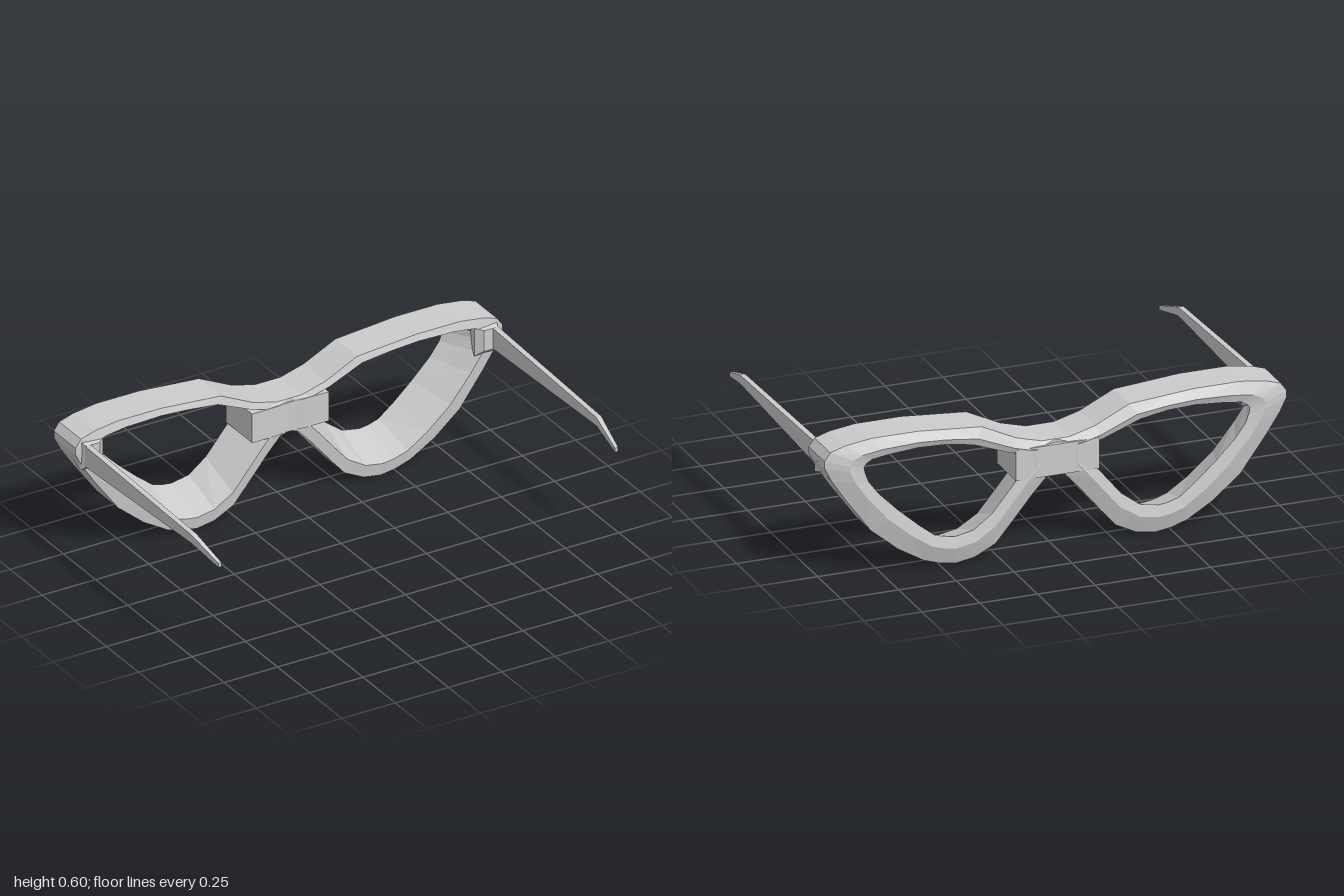
import * as THREE from 'three';

const material = new THREE.MeshStandardMaterial({ color: 0xcccccc, flatShading: true });

// Skin a list of equal-length cross-sections; either a closed ring or a capped bar.
// side = -1 mirrors it across x and flips the winding.
function loft(name, sections, ring, side) {
  const out = [];
  const tri = (a, b, c) => {
    for (const p of side > 0 ? [a, b, c] : [a, c, b]) out.push(p[0] * side, p[1], p[2]);
  };
  const n = sections[0].length;
  const spans = ring ? sections.length : sections.length - 1;
  for (let i = 0; i < spans; i++) {
    const s = sections[i], t = sections[(i + 1) % sections.length];
    for (let j = 0; j < n; j++) {
      const k = (j + 1) % n;
      tri(s[j], s[k], t[k]);
      tri(s[j], t[k], t[j]);
    }
  }
  if (!ring) {
    const s = sections[0], t = sections[sections.length - 1];
    for (let j = 1; j < n - 1; j++) {
      tri(s[0], s[j + 1], s[j]);
      tri(t[0], t[j], t[j + 1]);
    }
  }
  const geometry = new THREE.BufferGeometry();
  geometry.setAttribute('position', new THREE.Float32BufferAttribute(out, 3));
  geometry.computeVertexNormals();
  const mesh = new THREE.Mesh(geometry, material);
  mesh.name = name;
  return mesh;
}

// Rim stations: outer x, outer y, inner x, inner y, clockwise from the bridge top
const rimStations = [
  [0, 0.475, 0.15, 0.43],
  [0.06, 0.475, 0.16, 0.44],
  [0.17, 0.505, 0.2, 0.45],
  [0.32, 0.577, 0.36, 0.51],
  [0.48, 0.59, 0.48, 0.53],
  [0.6, 0.6, 0.6, 0.535],
  [0.8, 0.6, 0.73, 0.525],
  [0.91, 0.585, 0.8, 0.515],
  [0.975, 0.565, 0.825, 0.5],
  [1, 0.53, 0.835, 0.485],
  [1, 0.5, 0.83, 0.46],
  [0.97, 0.44, 0.815, 0.42],
  [0.91, 0.35, 0.77, 0.36],
  [0.8, 0.2, 0.69, 0.28],
  [0.68, 0.1, 0.6, 0.2],
  [0.57, 0.035, 0.53, 0.145],
  [0.5, 0.012, 0.48, 0.13],
  [0.43, 0.002, 0.44, 0.125],
  [0.35, 0.015, 0.36, 0.14],
  [0.26, 0.06, 0.28, 0.2],
  [0.2, 0.13, 0.25, 0.235],
  [0.1, 0.25, 0.18, 0.32],
  [0.04, 0.315, 0.15, 0.36],
  [0, 0.325, 0.145, 0.39],
];

// Five-sided rim section: ridge on the front, inner wall tapering towards the back
function rimSection([ox, oy, ix, iy]) {
  const at = (t, z) => [ox + (ix - ox) * t, oy + (iy - oy) * t, z];
  return [at(0, -0.405), at(0.45, -0.396), at(1, -0.59), at(0.6, -0.6), at(0, -0.575)];
}

// Rectangular section across z
const rect = (x0, x1, y0, y1, z) => [[x0, y0, z], [x1, y0, z], [x1, y1, z], [x0, y1, z]];

export function createModel() {
  const model = new THREE.Group();
  model.name = 'glasses';

  for (const side of [1, -1]) {
    const label = side > 0 ? 'left' : 'right';

    model.add(loft(label + 'Rim', rimStations.map(rimSection), true, side));

    // Hinge block tapering from the rim into the arm
    model.add(loft(label + 'Hinge', [
      rect(0.9, 0.97, 0.45, 0.56, -0.5),
      rect(0.87, 0.975, 0.42, 0.55, -0.408),
      rect(0.9, 0.965, 0.445, 0.54, -0.382),
    ], false, side));

    // Slim arm with a drooping tip
    model.add(loft(label + 'Arm', [
      rect(0.942, 0.967, 0.445, 0.54, -0.4),
      rect(0.937, 0.96, 0.477, 0.515, 0.43),
      rect(0.922, 0.937, 0.44, 0.459, 0.6),
    ], false, side));
  }

  // Bridge block with a slightly dished front, drawn in plan and extruded upwards
  const plan = new THREE.Shape([
    [-0.18, 0.598], [0.18, 0.598], [0.18, 0.393], [0.06, 0.394],
    [0.03, 0.4], [-0.03, 0.4], [-0.06, 0.394], [-0.18, 0.393],
  ].map(([x, y]) => new THREE.Vector2(x, y)));
  const block = new THREE.ExtrudeGeometry(plan, { depth: 0.133, bevelEnabled: false });
  block.rotateX(-Math.PI / 2);
  const bridge = new THREE.Mesh(block, material);
  bridge.name = 'bridge';
  bridge.position.y = 0.327;
  model.add(bridge);

  return model;
}
